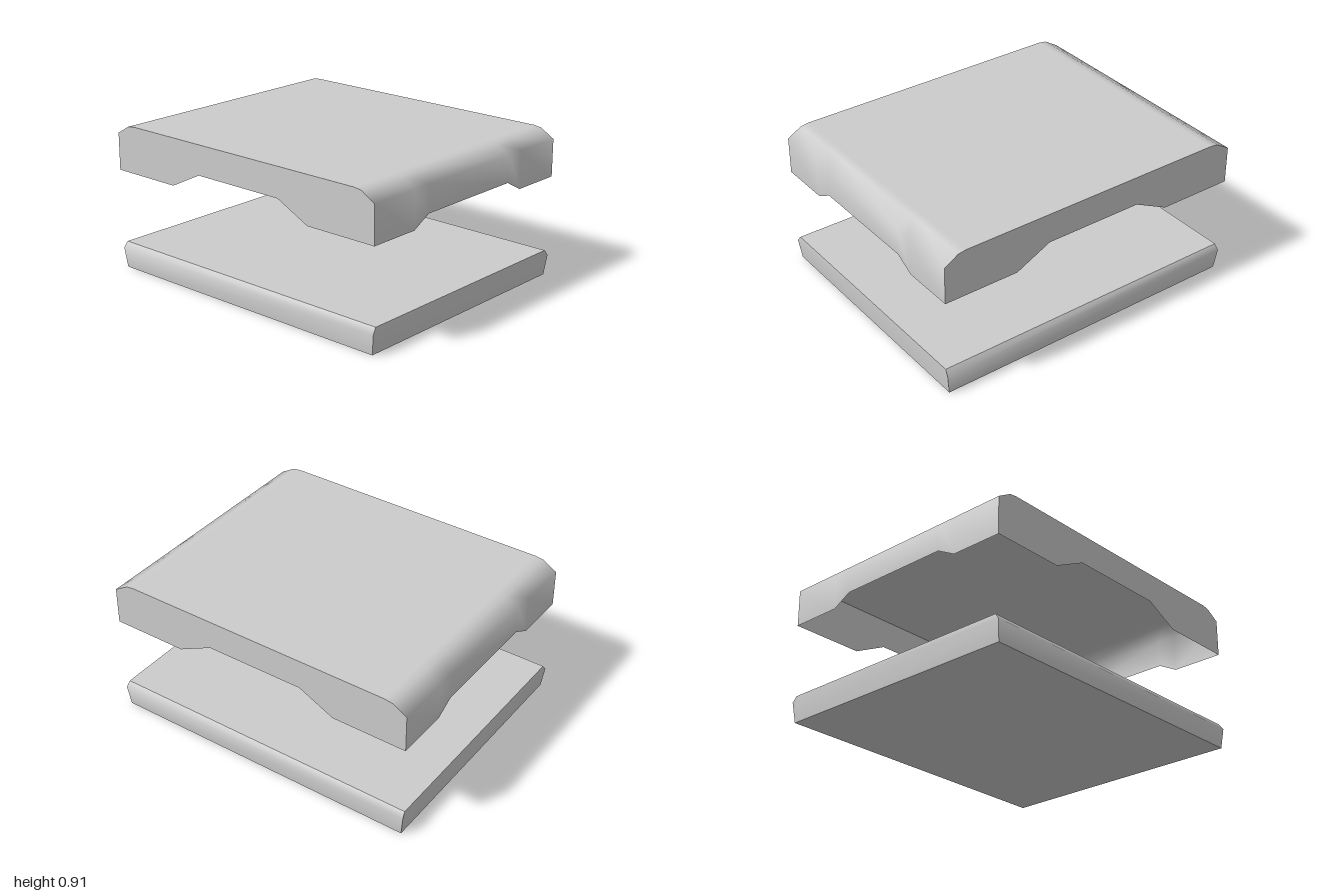
import * as THREE from 'three';
import { toCreasedNormals } from 'three/addons/utils/BufferGeometryUtils.js';

const HALF_Z = 0.807;
const HOOD_EDGE = [[1, 0.85], [0.91, 0.903], [0.86, 0.91]]; // right half of the hood's upper outline

const mirrorX = (pts) => pts.map(([x, y]) => [-x, y]).reverse();
const toShape = (pts) => new THREE.Shape(pts.map(([x, y]) => new THREE.Vector2(x, y)));

// Curved skin of the hood: top and both sides, with a notch in the lower side edges
function hoodSkin() {
  const columns = [[-HALF_Z, 0.62], [-0.48, 0.62], [-0.36, 0.685], [0.36, 0.685], [0.48, 0.62], [HALF_Z, 0.62]];
  const positions = [], index = [];
  let n = 0;
  columns.forEach(([z, low], j) => {
    const half = [[1, low], ...HOOD_EDGE];
    const profile = [...mirrorX(half).reverse(), ...half.slice().reverse()];
    n = profile.length;
    profile.forEach(([x, y]) => positions.push(x, y, z));
    if (j === 0) return;
    for (let i = 0; i < n - 1; i++) {
      const a = (j - 1) * n + i, c = j * n + i;
      index.push(a, c, a + 1, a + 1, c, c + 1);
    }
  });
  const geo = new THREE.BufferGeometry();
  geo.setAttribute('position', new THREE.Float32BufferAttribute(positions, 3));
  geo.setIndex(index);
  geo.computeVertexNormals();
  return geo;
}

// Flat end wall of the hood with an arch cut from its lower edge
function hoodEnd() {
  const right = [[0.31, 0.727], [0.53, 0.62], [1, 0.62], ...HOOD_EDGE];
  return new THREE.ShapeGeometry(toShape([...right, ...mirrorX(right)]));
}

// Solid base plate: end profile run along x, its ends leaning in towards the bottom
function basePlate() {
  const right = [[0.795, 0], [HALF_Z, 0.125], [0.782, 0.16]];
  const geo = new THREE.ExtrudeGeometry(toShape([...right, ...mirrorX(right)]), { depth: 2, bevelEnabled: false });
  geo.translate(0, 0, -1);
  geo.rotateY(Math.PI / 2);
  const p = geo.attributes.position;
  for (let i = 0; i < p.count; i++) {
    const y = p.getY(i);
    const half = y < 0.01 ? 0.982 : y < 0.15 ? 0.998 : 0.993;
    p.setX(i, Math.sign(p.getX(i)) * half);
  }
  return toCreasedNormals(geo, 0.85);
}

export function createModel() {
  const model = new THREE.Group();
  const solid = new THREE.MeshStandardMaterial({ color: 0xcccccc });
  const thin = new THREE.MeshStandardMaterial({ color: 0xcccccc, side: THREE.DoubleSide });
  const add = (name, geo, mat, parent) => {
    const mesh = new THREE.Mesh(geo, mat);
    mesh.name = name;
    parent.add(mesh);
    return mesh;
  };

  // Open-bottomed hood floating above the plate
  const hood = new THREE.Group();
  hood.name = 'hood';
  add('hoodSkin', hoodSkin(), thin, hood);
  add('hoodFront', hoodEnd(), thin, hood).position.z = HALF_Z;
  const back = add('hoodBack', hoodEnd(), thin, hood);
  back.position.z = -HALF_Z;
  back.rotation.y = Math.PI;
  model.add(hood);

  add('basePlate', basePlate(), solid, model);
  return model;
}
